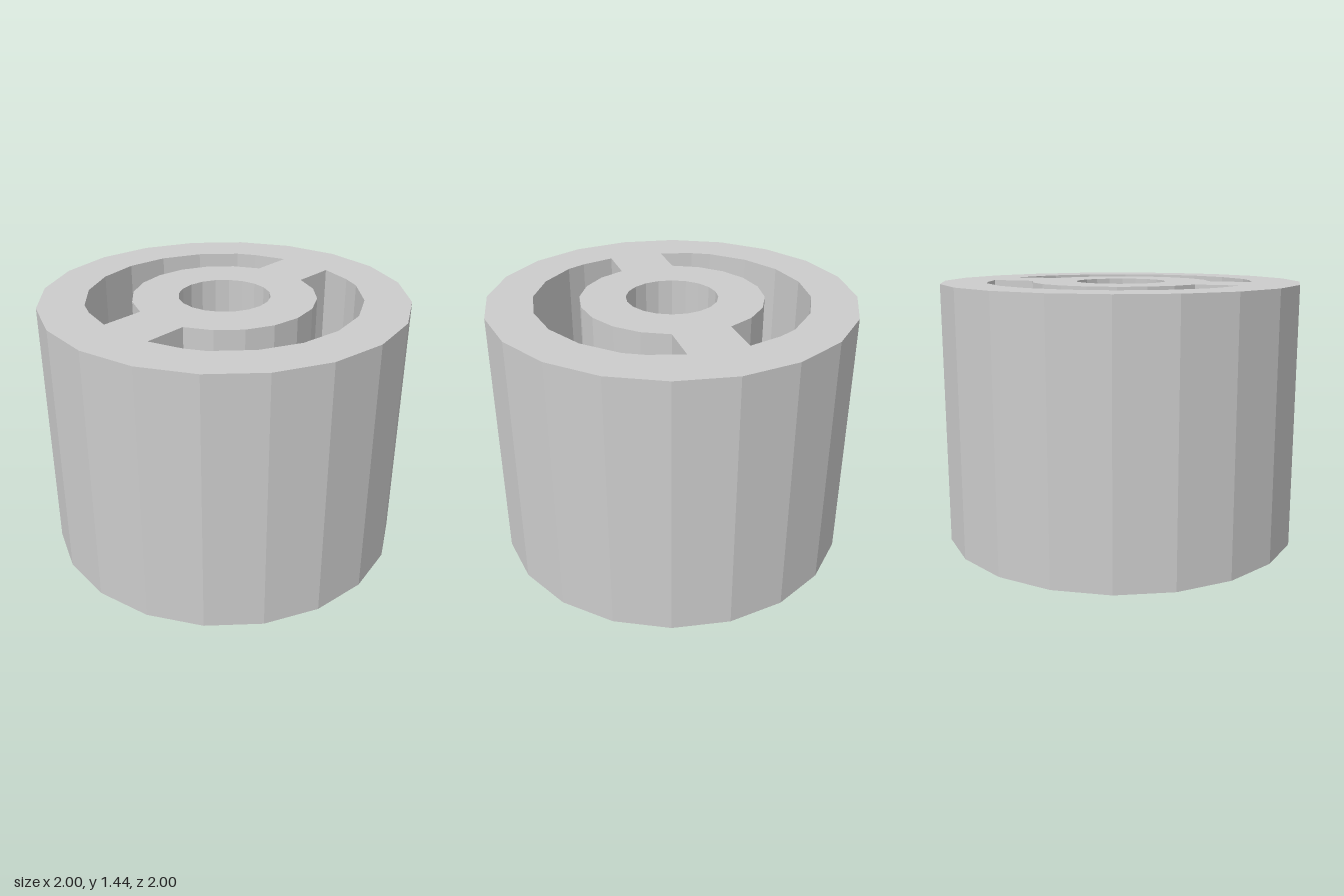
import * as THREE from 'three';

const HEIGHT = 1.44;
const SIDES = 20;

// Points on a regular polygon from step a to step b, with a corner on each axis
function arc(radius, a, b) {
  const points = [];
  const dir = Math.sign(b - a);
  for (let i = a; i !== b + dir; i += dir) {
    const t = (i / SIDES) * Math.PI * 2;
    points.push(new THREE.Vector2(radius * Math.cos(t), radius * Math.sin(t)));
  }
  return points;
}

// Curved slot between hub and rim, on one side (+1 or -1) of the spokes
function slot(side) {
  const p = (x, y) => new THREE.Vector2(x, y);
  const points = [
    p(0.715, 0.157), p(0.66, 0.34),
    ...arc(0.75, 2, 8),
    p(-0.66, 0.34), p(-0.715, 0.157),
    ...arc(0.5, 9, 1),
  ];
  return new THREE.Path(points.map((v) => p(v.x, v.y * side)));
}

export function createModel() {
  const group = new THREE.Group();
  group.name = 'spokedCylinder';

  // Rim, hub and two spokes as one cross-section with a bore and two slots
  const section = new THREE.Shape(arc(1, 0, SIDES - 1));
  section.holes.push(new THREE.Path(arc(0.25, 0, SIDES - 1)), slot(1), slot(-1));

  const geometry = new THREE.ExtrudeGeometry(section, { depth: HEIGHT, bevelEnabled: false });
  geometry.rotateX(-Math.PI / 2);

  const body = new THREE.Mesh(
    geometry,
    new THREE.MeshStandardMaterial({ color: 0xcccccc, flatShading: true })
  );
  body.name = 'rimHubAndSpokes';
  group.add(body);
  return group;
}
